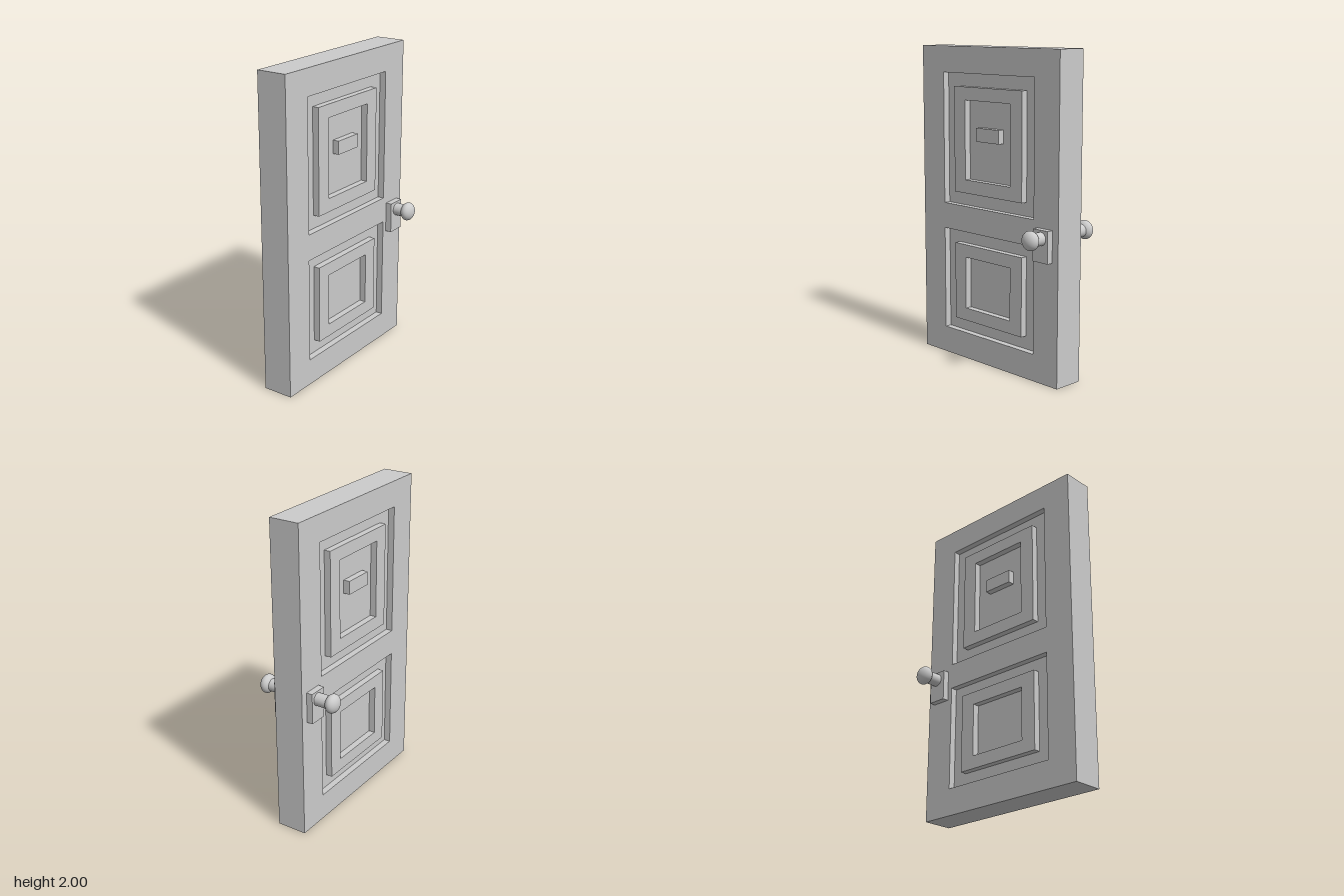
import * as THREE from 'three';

const FRONT = 0.108, BACK = -0.088, DEPTH = 0.042; // door faces and recess depth
const MID = (FRONT + BACK) / 2, THICK = FRONT - BACK;

const material = new THREE.MeshStandardMaterial({ color: 0xcccccc });

function add(parent, name, geometry, x = 0, y = 0, z = 0) {
  const mesh = new THREE.Mesh(geometry, material);
  mesh.name = name;
  mesh.position.set(x, y, z);
  parent.add(mesh);
  return mesh;
}

function rectangle(path, halfWidth, y0, y1) {
  path.moveTo(-halfWidth, y0);
  path.lineTo(halfWidth, y0);
  path.lineTo(halfWidth, y1);
  path.lineTo(-halfWidth, y1);
  path.closePath();
  return path;
}

// Flat plate with rectangular openings; each rectangle is [halfWidth, y0, y1]
function plate(outer, holes, depth) {
  const shape = rectangle(new THREE.Shape(), ...outer);
  shape.holes = holes.map((hole) => rectangle(new THREE.Path(), ...hole));
  return new THREE.ExtrudeGeometry(shape, { depth, bevelEnabled: false });
}

export function createModel() {
  const door = new THREE.Group();
  door.name = 'door';

  const panels = [
    { name: 'upperPanel', recess: [0.4, 1.0, 1.835], ring: [0.3, 1.085, 1.752], field: [0.2, 1.17, 1.67] },
    { name: 'lowerPanel', recess: [0.4, 0.17, 0.835], ring: [0.3, 0.253, 0.752], field: [0.2, 0.335, 0.67] },
  ];

  // Door frame with one opening per panel
  add(door, 'frame', plate([0.6, 0, 2], panels.map((p) => p.recess), THICK), 0, 0, BACK);

  // Sunken panels with a raised moulding on both faces
  for (const { name, recess, ring, field } of panels) {
    const panel = new THREE.Group();
    panel.name = name;
    door.add(panel);
    add(panel, 'sunkenBoard', plate(recess, [], THICK - 2 * DEPTH), 0, 0, BACK + DEPTH);
    for (const z of [FRONT - DEPTH, BACK]) {
      add(panel, 'raisedMoulding', plate(ring, [field], DEPTH), 0, 0, z);
    }
  }

  for (const side of [1, -1]) {
    const face = side > 0 ? FRONT : BACK;

    // Small raised block in the upper panel
    add(door, 'letterPlate', new THREE.BoxGeometry(0.2, 0.085, DEPTH), 0, 1.462, face - side * DEPTH / 2);

    // Handle: backplate, neck and flattened knob
    const handle = new THREE.Group();
    handle.name = side > 0 ? 'frontHandle' : 'backHandle';
    door.add(handle);
    add(handle, 'backplate', new THREE.BoxGeometry(0.12, 0.196, 0.04), 0.493, 0.859, face + side * 0.02);

    const neckStart = Math.abs(face) + 0.03, neckEnd = 0.225;
    add(handle, 'neck', new THREE.CylinderGeometry(0.04, 0.04, neckEnd - neckStart, 32),
      0.498, 0.905, side * (neckStart + neckEnd) / 2).rotation.x = Math.PI / 2;

    const knob = new THREE.SphereGeometry(1, 40, 24);
    knob.scale(0.059, 0.059, 0.041);
    add(handle, 'knob', knob, 0.498, 0.906, side * 0.235);
  }

  return door;
}
